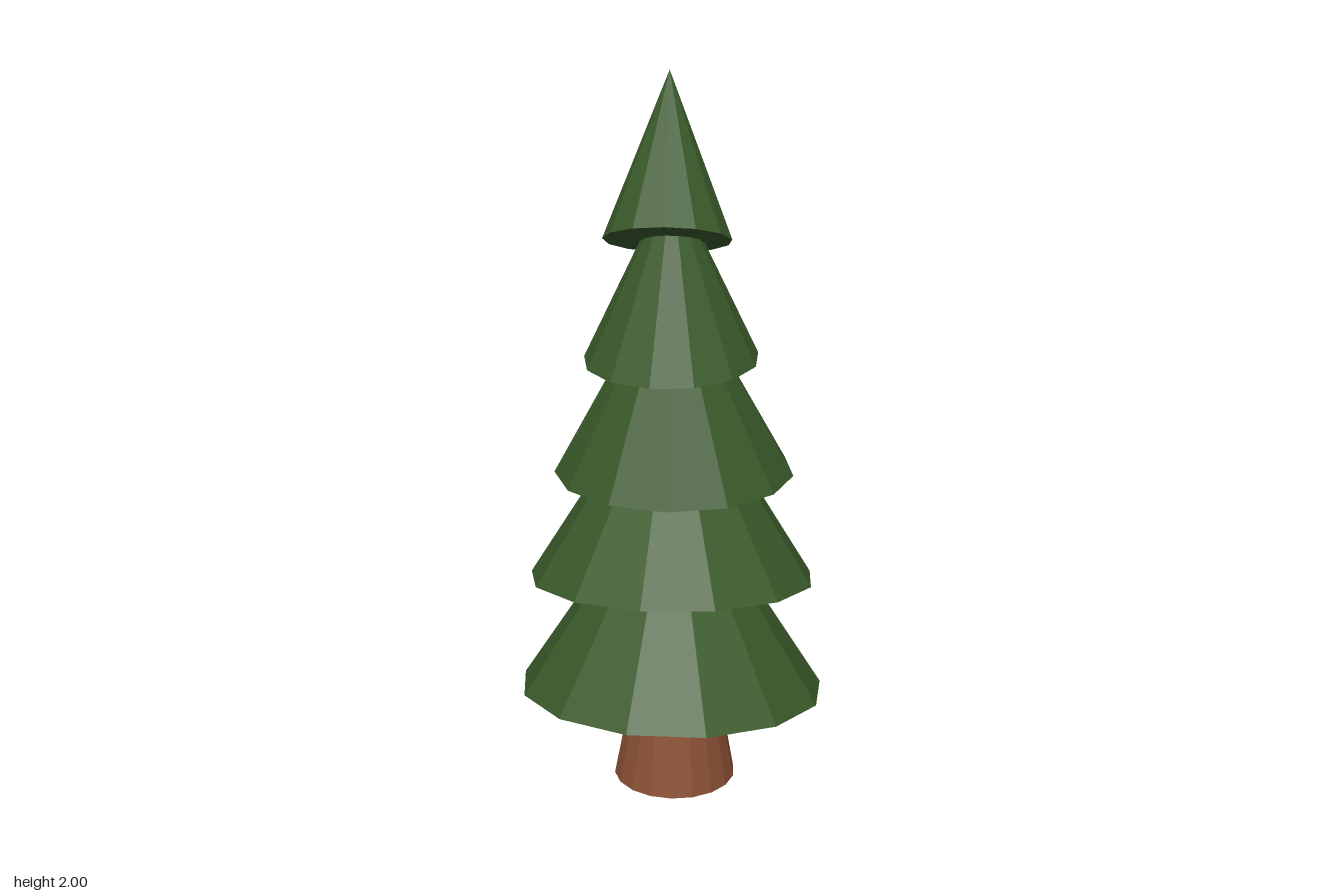
import * as THREE from 'three';

const green = new THREE.MeshStandardMaterial({ color: 0x3a5a2a, flatShading: true });
const brown = new THREE.MeshStandardMaterial({ color: 0x8a5034, flatShading: true });

// A leaning cone or frustum: a tilted ring at `base` drawn up to a ring or point at `tip`.
function leaningCone({ name, base, tip, radius, tipRadius = 0, pitch = 0, roll = 0, turn = 0, sides = 13, material = green }) {
  const geometry = new THREE.CylinderGeometry(tipRadius, radius, 1, sides, 1, false, turn);
  const position = geometry.attributes.position;
  const tilt = new THREE.Euler(-pitch, 0, roll);
  const from = new THREE.Vector3(...base);
  const to = new THREE.Vector3(...tip);
  const v = new THREE.Vector3();
  const centre = new THREE.Vector3();
  for (let i = 0; i < position.count; i++) {
    v.fromBufferAttribute(position, i);
    centre.lerpVectors(from, to, v.y + 0.5);
    v.setY(0).applyEuler(tilt).add(centre);
    position.setXYZ(i, v.x, v.y, v.z);
  }
  geometry.computeVertexNormals();
  const mesh = new THREE.Mesh(geometry, material);
  mesh.name = name;
  return mesh;
}

export function createModel() {
  const tree = new THREE.Group();
  tree.name = 'pineTree';

  // Tapered trunk, running up into the lowest tier
  tree.add(leaningCone({
    name: 'trunk', base: [0.01, 0.014, 0.032], tip: [0.013, 0.42, 0.018],
    radius: 0.176, tipRadius: 0.1, pitch: 0.07, sides: 18, material: brown,
  }));

  // Five foliage tiers from bottom to top, each tilted its own way
  const tiers = [
    { base: [0, 0.285, 0], tip: [0, 0.945, -0.07], radius: 0.438, pitch: 0.161, roll: -0.015, turn: Math.PI + 0.02 },
    { base: [0, 0.62, -0.013], tip: [0, 1.25, -0.085], radius: 0.404, pitch: 0.18, turn: -0.15 },
    { base: [0.003, 0.92, -0.07], tip: [0, 1.52, -0.02], radius: 0.336, turn: 0 },
    { base: [-0.005, 1.243, -0.07], tip: [-0.003, 1.74, -0.055], radius: 0.242, pitch: -0.088, roll: 0.015, turn: Math.PI + 0.06 },
    { base: [-0.014, 1.569, -0.05], tip: [-0.013, 2, -0.143], radius: 0.173, pitch: 0.364, turn: 0 },
  ];
  tiers.forEach((tier, i) => tree.add(leaningCone({ name: `foliageTier${i + 1}`, ...tier })));

  return tree;
}
